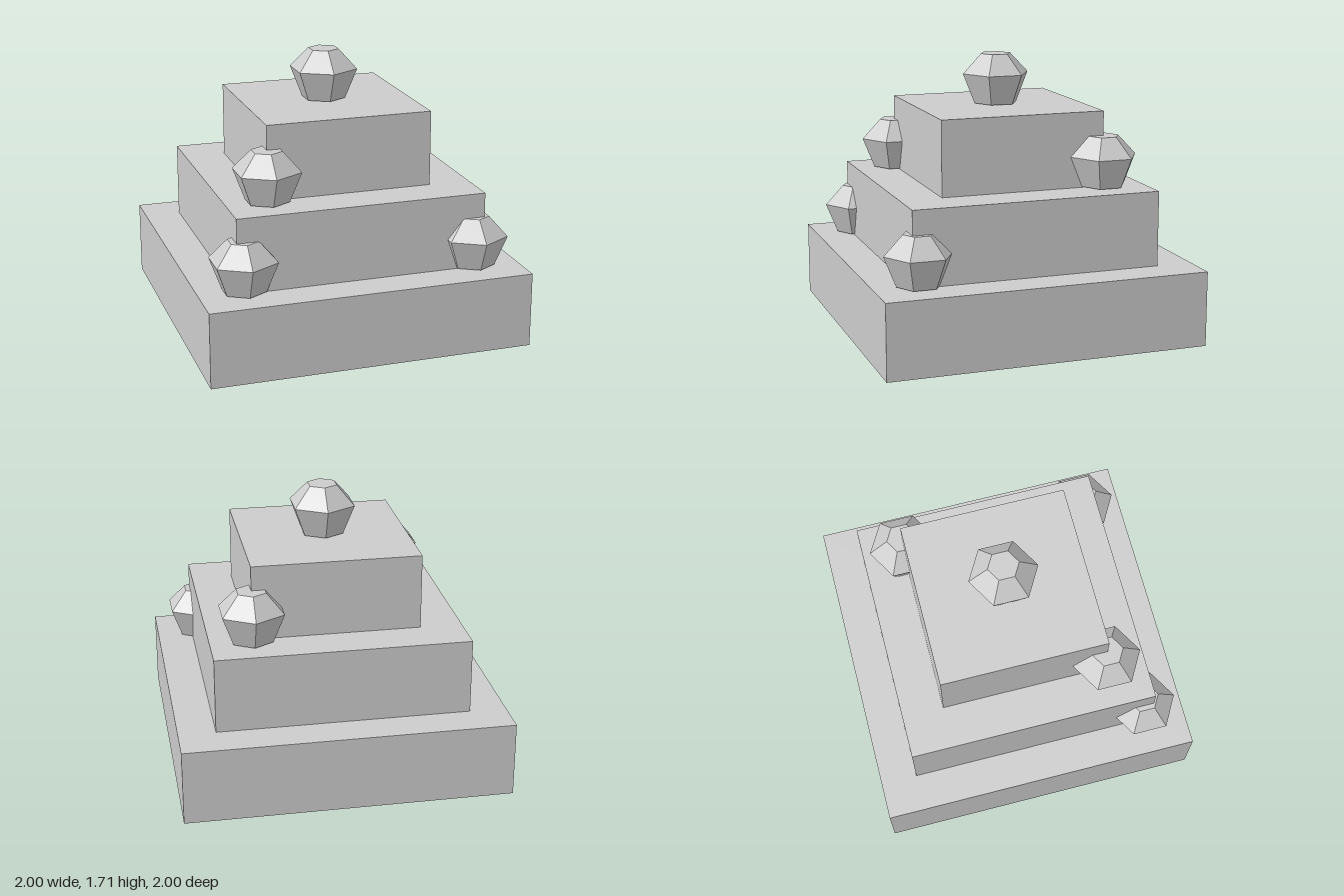
import * as THREE from 'three';

export function createModel() {
  const model = new THREE.Group();
  const stone = new THREE.MeshStandardMaterial({ color: 0xcccccc, flatShading: true });
  stone.name = 'paleStone';

  // Three stacked square tiers of equal height
  const tierHeight = 0.465;
  const tiers = [['baseTier', 2], ['middleTier', 1.548], ['topTier', 1.032]];
  tiers.forEach(([name, width], i) => {
    const tier = new THREE.Mesh(new THREE.BoxGeometry(width, tierHeight, width), stone);
    tier.name = name;
    tier.position.y = tierHeight * (i + 0.5);
    model.add(tier);
  });

  // Six-sided cut gem: narrow foot, wide girdle, small flat crown
  const profile = [[0, 0], [0.138, 0], [0.213, 0.187], [0.096, 0.309], [0, 0.309]]
    .map(([r, y]) => new THREE.Vector2(r, y));
  const gemGeometry = new THREE.LatheGeometry(profile, 6);

  // Gems on the tier corners and one on the summit: tier number, x, z
  const gems = [
    ['summitGem', 3, 0, 0],
    ['middleFrontRightGem', 2, -0.516, 0.516],
    ['middleBackLeftGem', 2, 0.516, -0.516],
    ['lowerFrontRightGem', 1, -0.722, 0.722],
    ['lowerFrontLeftGem', 1, 0.722, 0.722],
  ];
  for (const [name, level, x, z] of gems) {
    const gem = new THREE.Mesh(gemGeometry, stone);
    gem.name = name;
    gem.position.set(x, level * tierHeight + 0.005, z);
    model.add(gem);
  }
  return model;
}
